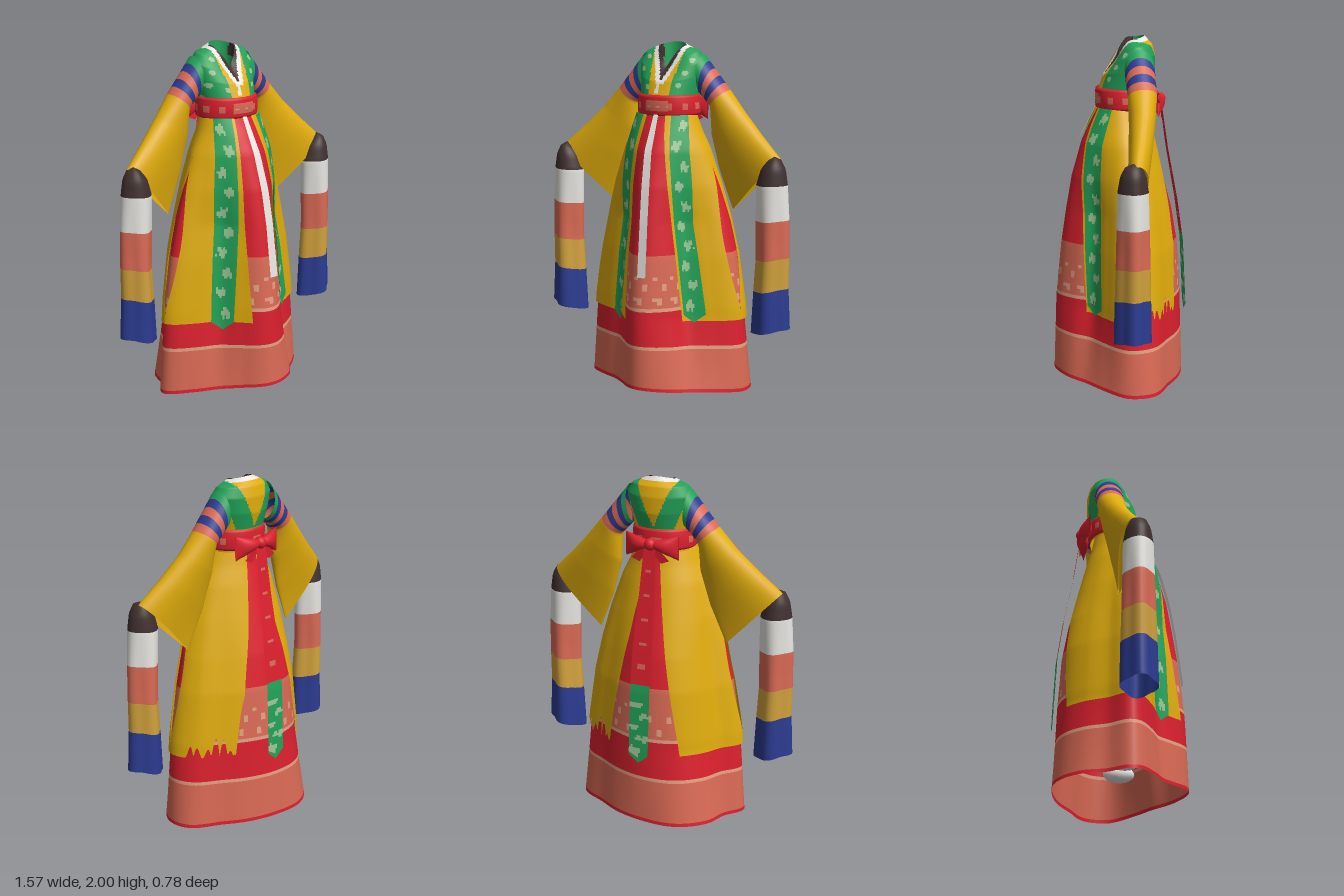
import * as THREE from 'three';
import { mergeVertices } from 'three/addons/utils/BufferGeometryUtils.js';

const PALETTE = {
  yellow: 0xe0ac0c, green: 0x22a258, red: 0xdc202e, coral: 0xdb6a55, navy: 0x2c3c92,
  white: 0xe8e7e2, brown: 0x40302f, ochre: 0xd2a23c, sage: 0x9cc795, pink: 0xe6a183,
};
const NAMES = Object.keys(PALETTE);
const DEG = Math.PI / 180;
const mix = (a, b, t) => a + (b - a) * t;

// Row of a table, interpolated on its first column (rows run in either direction)
function at(rows, k) {
  const dir = Math.sign(rows[rows.length - 1][0] - rows[0][0]);
  let i = 0;
  while (i < rows.length - 2 && (k - rows[i + 1][0]) * dir > 0) i++;
  const a = rows[i], b = rows[i + 1];
  const t = THREE.MathUtils.clamp((k - a[0]) / (b[0] - a[0]), 0, 1);
  return a.map((x, j) => mix(x, b[j], t));
}

// Skirt outline: y, half width, front depth, back depth
const SKIRT = [
  [1.62, .15, .10, .15], [1.5, .2, .165, .175], [1.4, .25, .212, .205], [1.2, .32, .27, .26],
  [1, .375, .305, .315], [.8, .42, .335, .35], [.5, .465, .365, .37], [0, .5, .39, .385],
];
// Uneven radius every 22.5 degrees from the front, at the hem and at knee height
const HEM = [.98, .92, .81, .86, 1, 1.04, .92, .94, 1, 1.08, 1.02, .91, 1, .81, .7, .77];
const KNEE = [1, .84, .67, .78, 1, 1, .91, .93, .99, .99, .92, .88, 1, .77, .63, .76];
function foldRadius(table, deg) {
  const f = ((deg / 22.5) % 16 + 16) % 16, i = Math.floor(f), t = f - i;
  const p = k => table[(i + k + 16) % 16];
  return p(0) + .5 * t * (p(1) - p(-1) + t * (2 * p(-1) - 5 * p(0) + 4 * p(1) - p(2) + t * (3 * (p(0) - p(1)) + p(2) - p(-1))));
}
function skirtPoint(deg, y, offset = 0) {
  const [, w, f, b] = at(SKIRT, y);
  const knee = mix(foldRadius(HEM, deg), foldRadius(KNEE, deg), Math.min(1, y / .45));
  const r = mix(knee, 1, THREE.MathUtils.clamp((y - 1) / .6, 0, 1));
  const s = Math.sin(deg * DEG) * r, c = Math.cos(deg * DEG) * r;
  const lift = .045 * Math.max(0, c) * Math.max(0, 1 - y / .5);
  return [s * (w + offset), y + lift, c * ((c > 0 ? f : b) + offset)];
}

// Scattered blossom motif on a ribbon
const blossom = (u, v, n) => {
  const k = Math.floor(v * n), du = u - (k % 2 ? .36 : .64), dv = v * n - k - .5;
  return du * du / .07 + dv * dv / .1 + .35 * Math.sin(u * 23 + v * 90) < .65;
};

// V-shaped neckline height for a direction s (sideways) and c (forwards)
const neckY = (s, c) => (c > 0 ? mix(1.985, 1.865, 1 - Math.abs(s)) : mix(1.985, 2, c * c));

export function createModel() {
  const group = new THREE.Group();
  const mats = NAMES.map(name => {
    const m = new THREE.MeshStandardMaterial({ color: PALETTE[name], side: THREE.DoubleSide });
    m.name = name;
    return m;
  });

  // Curved sheet from point(u, v); colour(u, v, position) picks the cloth of each cell, or null for none
  function sheet(name, nu, nv, point, colour) {
    const pos = [], buckets = {};
    for (let j = 0; j <= nv; j++) for (let i = 0; i <= nu; i++) pos.push(...point(i / nu, j / nv));
    for (let j = 0; j < nv; j++) for (let i = 0; i < nu; i++) {
      const u = (i + .5) / nu, v = (j + .5) / nv;
      const key = typeof colour === 'string' ? colour : colour(u, v, point(u, v));
      if (!key) continue;
      const a = j * (nu + 1) + i, b = a + 1, c = a + nu + 1, d = c + 1;
      (buckets[key] ||= []).push(a, c, b, b, c, d);
    }
    let g = new THREE.BufferGeometry();
    g.setAttribute('position', new THREE.Float32BufferAttribute(pos, 3));
    const index = [], used = Object.keys(buckets);
    used.forEach((key, m) => {
      g.addGroup(index.length, buckets[key].length, m);
      for (const x of buckets[key]) index.push(x);
    });
    g.setIndex(index);
    g = mergeVertices(g, 1e-5);
    g.computeVertexNormals();
    const mesh = new THREE.Mesh(g, used.map(k => mats[NAMES.indexOf(k)]));
    mesh.name = name;
    group.add(mesh);
  }
  // Rounded solid
  function ball(name, key, [x, y, z], scale) {
    const mesh = new THREE.Mesh(new THREE.SphereGeometry(1, 16, 12), mats[NAMES.indexOf(key)]);
    mesh.name = name;
    mesh.position.set(x, y, z);
    mesh.scale.set(...scale);
    group.add(mesh);
  }

  // Long skirt with woven bands
  sheet('skirt', 96, 80, (u, v) => skirtPoint(180 + u * 360, 1.6 * (1 - v)), (u, v) => {
    const y = 1.6 * (1 - v);
    if (y < .02) return 'red';
    if (y < .26) return 'coral';
    if (y < .28) return 'pink';
    if (y < .5) return 'red';
    if (y < .52) return 'pink';
    if (y < .82) return y > .54 && y < .7 && Math.sin(u * 150 + y * 9) * Math.sin(y * 42) > .6 ? 'pink' : 'coral';
    return 'red';
  });

  // Robe panels, open at front and back, slit at the sides
  const PANELS = [
    { side: 1, front: [18, 39], back: [170, 147], band: [[30, 66], [28, 57], [32, 57], [41, 63]], tip: .42, ragged: .12 },
    { side: -1, front: [22, 13], back: [172, 152], band: [[28, 66], [26, 56], [24, 55], [29, 54]], tip: .38, ragged: 0 },
  ];
  for (const p of PANELS) {
    const slit = y => (y < 1.3 && y > .5 ? 7 * Math.sin((1.3 - y) / .8 * Math.PI) : 0);
    const height = v => mix(1.61, .43, v);
    sheet('robeFront', 24, 40, (u, v) =>
      skirtPoint(p.side * mix(mix(...p.front, v), 90 - slit(height(v)), u), height(v), .014), 'yellow');
    sheet('robeBack', 64, 60, (u, v) => {
      const deg = mix(90 + slit(height(v)), mix(...p.back, v), u);
      const rag = p.ragged * Math.abs(Math.sin(deg * .13) * Math.sin(deg * .47)) * THREE.MathUtils.smoothstep(deg, 105, 115);
      return skirtPoint(p.side * deg, height(v) + rag * v * v, .014);
    }, 'yellow');
    // Green hanging band with a pointed end
    const rows = p.band.map((b, i) => [[1.6, 1.4, 1, .45][i], ...b]);
    sheet('hangingBand', 12, 90, (u, v) => {
      const y = mix(1.6, p.tip + .05, v), [, a, b] = at(rows, y);
      const point = v > .97 ? .05 * (1 - Math.abs(2 * u - 1)) * (v - .97) / .03 : 0;
      return skirtPoint(p.side * mix(a, b, u), y - point, .024);
    }, (u, v) => (blossom(u, v, 10) ? 'sage' : 'green'));
  }

  // Bodice: t, front y, side y, back y, half width, front z, back z
  const BODICE = [
    [0, 1.58, 1.58, 1.58, .168, .118, -.187], [.25, 1.7, 1.7, 1.7, .17, .115, -.187],
    [.5, 1.78, 1.81, 1.8, .188, .085, -.21], [.7, 1.825, 1.895, 1.89, .2, .045, -.21],
    [.85, 1.85, 1.95, 1.95, .165, .018, -.195], [1, 1.865, 1.985, 2, .075, -.005, -.15],
  ];
  sheet('bodice', 128, 72, (u, v) => {
    const [, yf, ys, yb, w, f, b] = at(BODICE, v);
    const a = (u * 2 + 1) * Math.PI, s = Math.sin(a), c = Math.cos(a);
    const y = c > 0 ? mix(ys, yf, mix(c * c, 1 - Math.abs(s), v)) : mix(ys, yb, c * c);
    return [s * w, y, (f + b) / 2 + c * (f - b) / 2];
  }, (u, v, [x, y, z]) => {
    const ax = Math.abs(x);
    if (z > -.1) {
      const edge = .4 * (y - 1.79);
      if (ax < edge + .004) return 'brown';
      if (y > 1.77 && ax < edge + .033) return 'white';
      if (y > 1.72 && y <= 1.77 && x > -.022 && x < .004) return 'white';
      if (y < 1.69 || ax < mix(.062, .096, (y - 1.7) / .25)) return 'yellow';
      return Math.sin(x * 48 + y * 30) * Math.sin(y * 52 - x * 20) > .68 ? 'sage' : 'green';
    }
    if (v > .93) return 'white';
    const inner = (y - 1.72) * .45;
    return y > 1.71 && ax > inner && ax < inner + .11 ? 'green' : 'yellow';
  });
  // Neck lining and white undershirt seen inside the collar
  sheet('neckLining', 48, 16, (u, v) => {
    const a = u * 2 * Math.PI, s = Math.sin(a), c = Math.cos(a);
    const drop = Math.min(1, v * 2), k = v > .5 ? 1.8 * (1 - v) : mix(1, .9, drop);
    return [s * .074 * k, mix(neckY(s, c) - .002, 1.84, drop), -.0775 + c * .071 * k];
  }, (u, v, [x, , z]) => {
    if (v > .5) return z > -.135 && Math.abs(x) < .058 * Math.min(1, (-.01 - z) / .08) ? 'white' : 'brown';
    return v < .25 && z > -.1 ? 'brown' : 'green';
  });

  // Waist belt, turned in at its edges
  sheet('belt', 96, 16, (u, v) => {
    const a = (u * 2 + 1) * Math.PI, bulge = v === 0 || v === 1 ? -.011 : .005 * Math.sin(v * Math.PI);
    return [Math.sin(a) * (.179 + .006 * v + bulge), mix(1.71, 1.59, v), -.034 + Math.cos(a) * (.162 + bulge)];
  }, (u, v) => {
    if (v < .25 || v > .78) return 'red';
    const d = Math.abs(u - .5);
    if (d < .065) return Math.sin(u * 120) * Math.sin(v * 9) > .75 ? 'pink' : 'coral';
    return Math.sin(u * 70) > .35 && v > .35 && v < .7 ? 'coral' : 'red';
  });

  // Wide sleeve: t, top x, top y, bottom x, bottom y, centre z, half thickness, rearward lean
  const SLEEVE = [
    [0, .185, 1.935, .16, 1.72, -.1, .085, 0], [.25, .35, 1.735, .24, 1.64, -.1, .082, 0],
    [.5, .455, 1.615, .245, 1.48, -.085, .078, -.01], [.75, .575, 1.495, .3, 1.28, -.055, .072, -.03],
    [1, .705, 1.375, .395, 1.055, -.02, .06, -.05],
  ];
  // Long hanging cuff: y, centre x, half width, half depth
  const CUFF = [
    [1.39, .68, 0, 0], [1.37, .68, .035, .045], [1.32, .672, .07, .07], [1.23, .665, .092, .085], [1.02, .672, .1, .09],
    [.82, .675, .1, .095], [.63, .668, .105, .1], [.39, .668, .118, .105],
  ];
  for (const side of [1, -1]) {
    sheet('wideSleeve', 32, 40, (u, v) => {
      const [, tx, ty, bx, by, z, h, lean] = at(SLEEVE, v);
      const a = u * 2 * Math.PI, k = (1 + Math.cos(a)) / 2;
      const pinch = mix(1, .25 + 1.1 * k, Math.max(0, v - .25) / .75);
      return [side * mix(bx, tx, k), mix(by, ty, k), z + Math.sin(a) * h * pinch + lean * (1 - k)];
    }, (u, v) => (v < .05 ? 'green' : v < .25 ? ['navy', 'coral'][Math.floor((v - .05) * 20) % 2] : 'yellow'));

    sheet('hangingCuff', 32, 50, (u, v) => {
      const y = mix(1.39, .39, v), [, cx, hx, hz] = at(CUFF, y);
      const a = u * 2 * Math.PI, crease = 1 - .1 * (1 - Math.cos(4 * a)) * Math.min(1, v * 2);
      return [side * (cx + Math.sin(a) * hx * crease), y + .022 * Math.sin(a) * v, Math.cos(a) * hz * crease];
    }, (u, v) => {
      const y = mix(1.39, .39, v);
      return y > 1.23 ? 'brown' : y > 1.02 ? 'white' : y > .82 ? 'coral' : y > .63 ? 'ochre' : 'navy';
    });

    // Bow loop at the back
    sheet('bowLoop', 16, 10, (u, v) => {
      const a = u * 2 * Math.PI, h = .02 + .05 * v;
      return [side * (.01 + .15 * v), 1.635 - .015 * v + Math.sin(a) * h,
        -.24 + .03 * v + Math.cos(a) * .035 * Math.sin(Math.PI * (.15 + .8 * v))];
    }, 'red');
    // Short bow tail
    sheet('bowTail', 4, 6, (u, v) => [side * (.01 + .08 * v + (u - .5) * .05), 1.63 - .1 * v + .02 * u * v, -.25 + .01 * v], 'red');
    // Shoe under the skirt
    ball('shoe', 'white', [side * .11, .17, 0], [.05, .05, .09]);
  }
  ball('bowKnot', 'red', [0, 1.635, -.24], [.035, .035, .035]);

  // Back sash, red above and green below, with a pointed end
  const SASH = [[1.63, -.245], [1.35, -.285], [1.05, -.34], [.8, -.375], [.42, -.393]];
  sheet('backSash', 10, 80, (u, v) => {
    const y = mix(1.63, .42, v), w = mix(.07, .12, Math.min(1, v * 2));
    const point = v > .96 ? .05 * (1 - Math.abs(2 * u - 1)) * (v - .96) / .04 : 0;
    return [.012 * v + (.5 - u) * w, y - point, at(SASH, y)[1]];
  }, (u, v) => {
    if (v > .65) return v > .71 && blossom(u * .6 + .2, v, 18) ? 'sage' : 'green';
    return Math.abs(u - .5) < .17 && (v * 9) % 1 < .15 ? 'coral' : 'red';
  });

  // White front ribbon
  const RIBBON = [[1.6, 0, .13, .03], [1.4, .005, .235, .045], [1.2, .018, .29, .05], [1, .025, .325, .05], [.7, .03, .362, .052]];
  sheet('frontRibbon', 2, 24, (u, v) => {
    const [y, x, z, w] = at(RIBBON, mix(1.6, .7, v));
    return [x + (u - .5) * w, y, z];
  }, 'white');

  return group;
}
